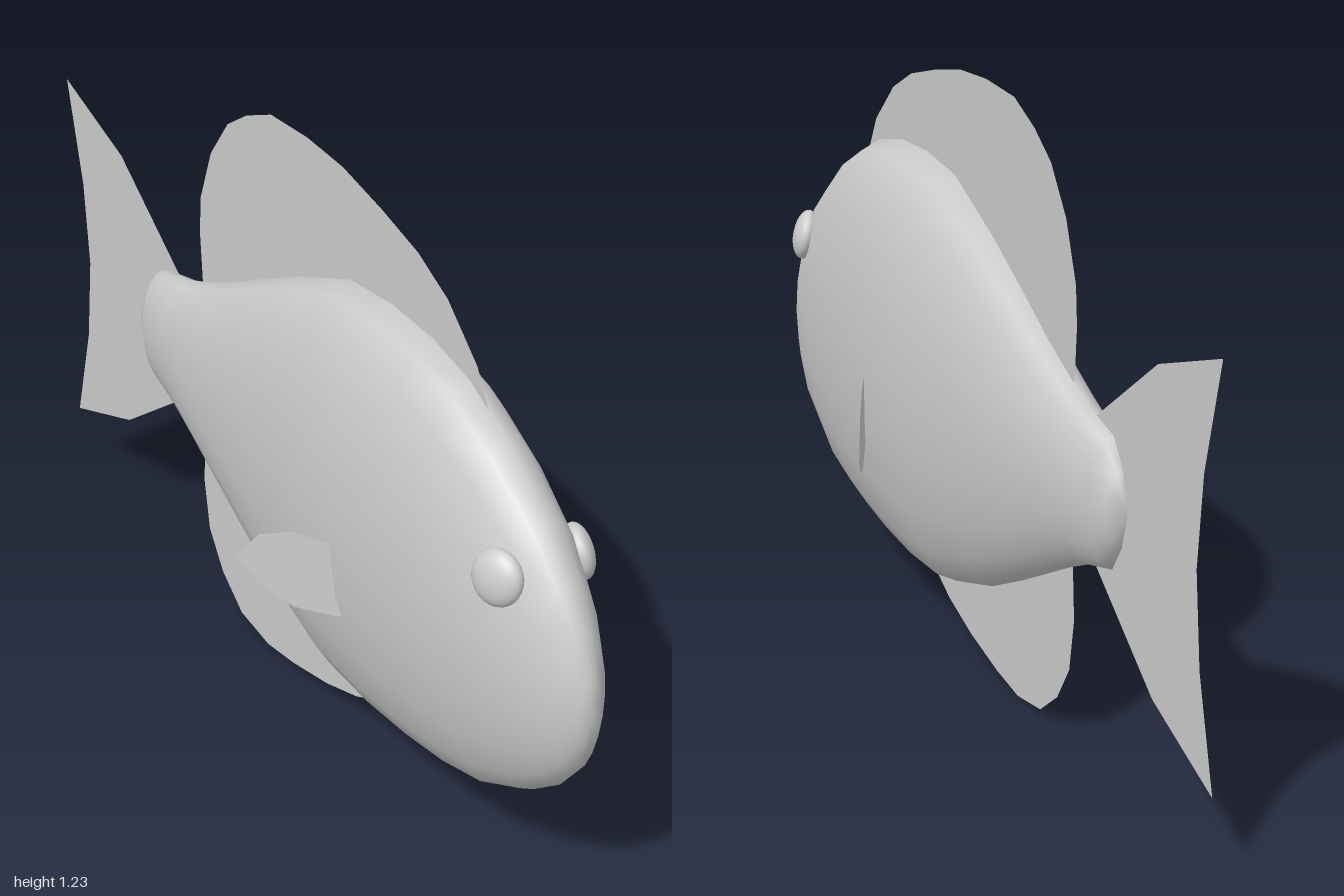
import * as THREE from 'three';
import { mergeVertices } from 'three/addons/utils/BufferGeometryUtils.js';

const skin = new THREE.MeshStandardMaterial({ color: 0xcccccc });
const finSkin = new THREE.MeshStandardMaterial({ color: 0xcccccc, side: THREE.DoubleSide });

// Body stations from nose to tail root: z, top y, bottom y, half width
const STATIONS = [
  [0.995, 0.49, 0.49, 0],
  [0.985, 0.57, 0.42, 0.025],
  [0.955, 0.65, 0.355, 0.053],
  [0.905, 0.73, 0.295, 0.078],
  [0.825, 0.82, 0.235, 0.104],
  [0.705, 0.91, 0.175, 0.122],
  [0.58, 0.975, 0.145, 0.133],
  [0.455, 1.005, 0.13, 0.139],
  [0.315, 1.013, 0.123, 0.141],
  [0.17, 1.0, 0.13, 0.136],
  [-0.02, 0.925, 0.19, 0.115],
  [-0.16, 0.858, 0.255, 0.099],
  [-0.285, 0.795, 0.317, 0.085],
  [-0.39, 0.75, 0.37, 0.074],
  [-0.475, 0.72, 0.408, 0.064],
  [-0.58, 0.698, 0.437, 0.051],
  [-0.62, 0.645, 0.495, 0.034],
  [-0.642, 0.57, 0.57, 0],
];

// Elliptical loft with smooth normals
function bodyGeometry(sides = 20) {
  const pos = [], index = [];
  STATIONS.forEach(([z, top, bottom, w], i) => {
    for (let j = 0; j < sides; j++) {
      const a = (j / sides) * Math.PI * 2;
      pos.push(w * Math.cos(a), (top + bottom) / 2 + ((top - bottom) / 2) * Math.sin(a), z);
      if (i === STATIONS.length - 1) continue;
      const k = (j + 1) % sides, p = i * sides, q = p + sides;
      if (i > 0) index.push(p + j, q + k, p + k);
      if (i < STATIONS.length - 2) index.push(p + j, q + j, q + k);
      else index.push(p + j, q + j, p + k);
      if (i === STATIONS.length - 2) index.splice(-6, 3);
    }
  });
  const g = new THREE.BufferGeometry();
  g.setAttribute('position', new THREE.Float32BufferAttribute(pos, 3));
  g.setIndex(index);
  const merged = mergeVertices(g);
  merged.computeVertexNormals();
  return merged;
}

// Flat sheet from a (z, y) outline, standing in the x = 0 plane
function finGeometry(outline) {
  const shape = new THREE.Shape(outline.map(([z, y]) => new THREE.Vector2(z, y)));
  return new THREE.ShapeGeometry(shape).rotateY(-Math.PI / 2);
}

export function createModel() {
  const group = new THREE.Group();
  const add = (name, geometry, material) => {
    const mesh = new THREE.Mesh(geometry, material);
    mesh.name = name;
    group.add(mesh);
    return mesh;
  };

  add('body', bodyGeometry(), skin);

  // Median fins, with roots hidden inside the body
  add('dorsalFin', finGeometry([
    [0.6, 0.9], [0.64, 0.945], [0.6, 1.015], [0.5, 1.105], [0.4, 1.155], [0.275, 1.19],
    [0.14, 1.22], [0.01, 1.23], [-0.125, 1.225], [-0.22, 1.187], [-0.295, 1.14],
    [-0.365, 1.05], [-0.41, 0.935], [-0.416, 0.855], [-0.405, 0.72], [0.1, 0.85],
  ]), finSkin);
  add('analFin', finGeometry([
    [0.305, 0.125], [0.205, 0.077], [0.09, 0.042], [-0.045, 0.015], [-0.15, 0.003],
    [-0.26, 0.02], [-0.34, 0.08], [-0.395, 0.16], [-0.415, 0.27], [-0.405, 0.42], [0.2, 0.25],
  ]), finSkin);
  add('tailFin', finGeometry([
    [-0.5, 0.71], [-0.755, 0.89], [-1, 0.975], [-0.94, 0.75], [-0.92, 0.565],
    [-0.94, 0.38], [-1, 0.163], [-0.755, 0.25], [-0.5, 0.425],
  ]), finSkin);

  for (const side of [1, -1]) {
    const label = side > 0 ? 'left' : 'right';

    // Pectoral fin, an upright sheet swept outward toward the rear
    const fin = finGeometry([
      [0.39, 0.52], [0.32, 0.545], [0.25, 0.542], [0.175, 0.508], [0.125, 0.438],
      [0.17, 0.398], [0.25, 0.373], [0.34, 0.388], [0.39, 0.41],
    ]);
    const p = fin.attributes.position;
    for (let i = 0; i < p.count; i++) p.setX(i, side * (0.228 - (p.getZ(i) - 0.125) * 0.44));
    fin.computeVertexNormals();
    add(label + 'PectoralFin', fin, finSkin);

    // Eye, a flattened ball lying on the slope of the head
    const eye = add(label + 'Eye', new THREE.SphereGeometry(0.054, 20, 14), skin);
    eye.scale.set(1, 1, 0.5);
    eye.position.set(side * 0.087, 0.715, 0.81);
    eye.lookAt(side * 1.087, 0.935, 1.17);
  }
  return group;
}
